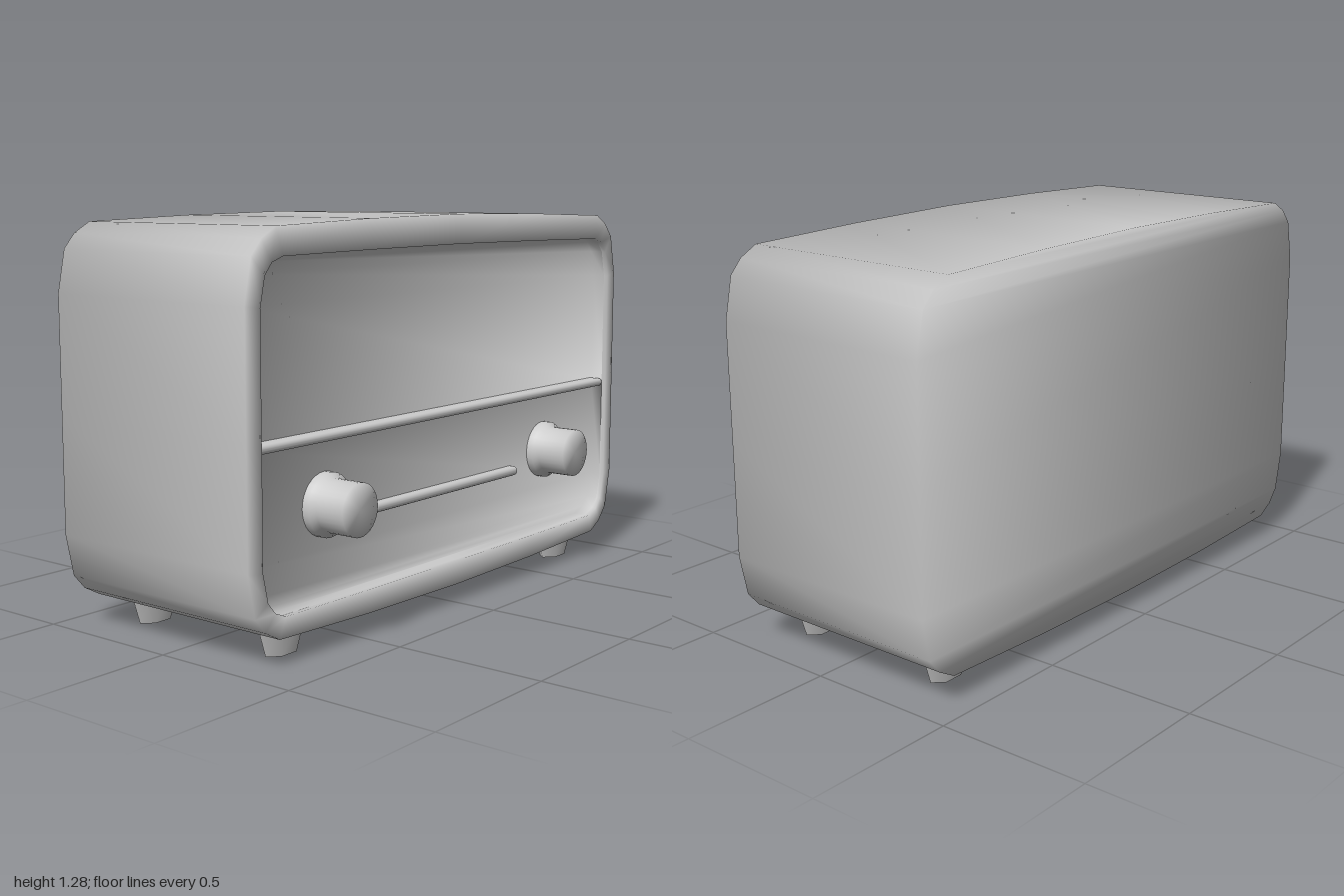
import * as THREE from 'three';
import { RoundedBoxGeometry } from 'three/addons/geometries/RoundedBoxGeometry.js';

const mat = new THREE.MeshStandardMaterial({ color: 0xcccccc });

// Closed counter-clockwise loop from its right half, bottom centre to top centre
function mirrorLoop(half, dx = 0) {
  const left = half.slice(1, -1).reverse().map(([x, y]) => [-x, y]);
  return [...half, ...left].map(([x, y]) => [x + dx, y]);
}

// Softly shaded skin through rings of [loop, z]; optional flat caps at either end
function loft(rings, { capStart = false, capEnd = false }) {
  const pos = [], idx = [], n = rings[0][0].length;
  for (const [loop, z] of rings) for (const [x, y] of loop) pos.push(x, y, z);
  for (let i = 0; i < rings.length - 1; i++) {
    for (let j = 0; j < n; j++) {
      const k = (j + 1) % n, a = i * n + j, b = i * n + k;
      idx.push(a, b, b + n, a, b + n, a + n);
    }
  }
  // Cap rows join each right-hand point to its mirror image
  const cap = (r, flip) => {
    const tri = (a, b, c) => {
      if (a === b || b === c || a === c) return;
      idx.push(...(flip ? [c, b, a] : [a, b, c]).map(v => r * n + v));
    };
    for (let j = 0; j < n / 2; j++) {
      const m = (n - j) % n, m2 = n - j - 1;
      tri(j, j + 1, m2);
      tri(j, m2, m);
    }
  };
  if (capStart) cap(0, true);
  if (capEnd) cap(rings.length - 1, false);

  // Every face counts equally, so flat areas shade softly towards their edges
  const points = [], normals = [];
  for (let i = 0; i < pos.length; i += 3) {
    points.push(new THREE.Vector3().fromArray(pos, i));
    normals.push(new THREE.Vector3());
  }
  const face = new THREE.Triangle(), faceNormal = new THREE.Vector3();
  for (let i = 0; i < idx.length; i += 3) {
    face.setFromPointsAndIndices(points, idx[i], idx[i + 1], idx[i + 2]).getNormal(faceNormal);
    for (let k = 0; k < 3; k++) normals[idx[i + k]].add(faceNormal);
  }
  const g = new THREE.BufferGeometry();
  g.setAttribute('position', new THREE.Float32BufferAttribute(pos, 3));
  g.setAttribute('normal', new THREE.Float32BufferAttribute(normals.flatMap(v => v.normalize().toArray()), 3));
  g.setIndex(idx);
  return g;
}

export function createModel() {
  const model = new THREE.Group();
  model.name = 'tabletopRadio';
  const add = (name, geo, x = 0, y = 0, z = 0) => {
    const m = new THREE.Mesh(geo, mat);
    m.name = name;
    m.position.set(x, y, z);
    model.add(m);
  };

  const back = -0.427, front = 0.35, lip = 0.335, floor = 0.29, shift = 0.008;

  // Cabinet: bulged rounded box with a rim around the open front
  const outer = mirrorLoop([
    [0, 0.062], [0.45, 0.068], [0.87, 0.083], [0.93, 0.116], [0.972, 0.165], [1, 0.3],
    [1, 0.675],
    [1, 1.05], [0.972, 1.185], [0.93, 1.232], [0.87, 1.265], [0.45, 1.278], [0, 1.284],
  ]);
  const lowerEdge = [[0, 0.142], [0.45, 0.143], [0.85, 0.146], [0.895, 0.165], [0.925, 0.2], [0.945, 0.29]];
  const upperEdge = [[0.945, 1.04], [0.925, 1.13], [0.895, 1.165], [0.85, 1.18], [0.45, 1.185], [0, 1.188]];
  const inner = mirrorLoop([...lowerEdge, [0.945, 0.64], ...upperEdge], shift);
  add('cabinet', loft([[outer, back], [outer, front], [inner, front], [inner, lip]], { capStart: true }));

  // Two recessed panels, above and below the divider
  const upper = mirrorLoop([[0, 0.648], [0.945, 0.648], ...upperEdge], shift);
  const lower = mirrorLoop([...lowerEdge, [0.945, 0.634], [0, 0.634]], shift);
  add('speakerPanel', loft([[upper, lip], [upper, floor]], { capEnd: true }));
  add('controlPanel', loft([[lower, lip], [lower, floor]], { capEnd: true }));

  // Divider and tuning bar
  add('divider', new RoundedBoxGeometry(1.89, 0.028, 0.06, 3, 0.013), shift, 0.641, 0.31);
  add('tuningBar', new RoundedBoxGeometry(0.805, 0.032, 0.05, 3, 0.015), 0.0125, 0.38, 0.295);

  // Knobs: wide collar with a narrower grip
  const knobProfile = [[0.1, 0.28], [0.1, 0.315], [0.083, 0.33], [0.083, 0.43], [0, 0.43]]
    .map(([r, z]) => new THREE.Vector2(r, z));
  const knobGeo = new THREE.LatheGeometry(knobProfile, 32);
  knobGeo.rotateX(Math.PI / 2);
  for (const s of [-1, 1]) add(s > 0 ? 'leftKnob' : 'rightKnob', knobGeo, s * 0.606 + 0.004, 0.428, 0);

  // Tapered feet
  const footGeo = new THREE.CylinderGeometry(0.102, 0.066, 0.11, 6);
  footGeo.rotateY(Math.PI / 2);
  footGeo.scale(1, 1, 0.6);
  for (const s of [-1, 1]) {
    add('frontFoot', footGeo, s * 0.758, 0.055, 0.25);
    add('backFoot', footGeo, s * 0.758, 0.055, -0.29);
  }
  return model;
}
